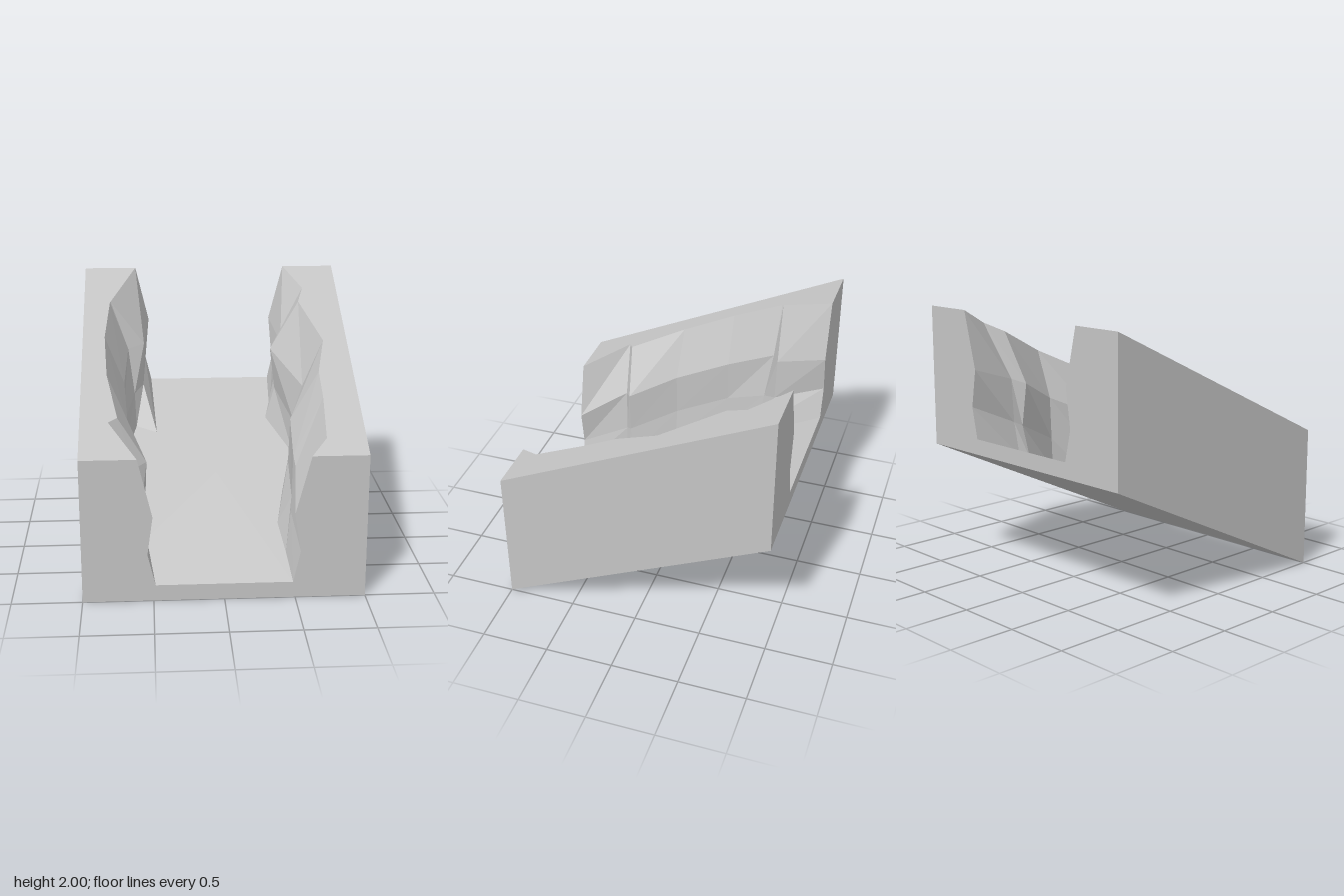
import * as THREE from 'three';

const SLOPE = 0.47;      // rise of the ramp per unit of depth
const HEIGHT = 1.055;    // block height at any depth
const FLOOR = 0.117;     // channel floor above the underside

// Point on the sloping block: x, height above the underside, z
const at = (x, h, z) => new THREE.Vector3(x, h + SLOPE * (1 - z), z);

// Faceted mesh from a flat list of triangle corners
function facets(name, points, material) {
  const geometry = new THREE.BufferGeometry().setFromPoints(points);
  geometry.computeVertexNormals();
  const mesh = new THREE.Mesh(geometry, material);
  mesh.name = name;
  return mesh;
}

// Strip of quads between a lower and an upper line, both running front to back
function strip(lower, upper, flip) {
  const out = [];
  for (let i = 0; i < lower.length - 1; i++) {
    const [a, b, c, d] = [lower[i], lower[i + 1], upper[i + 1], upper[i]];
    out.push(...(flip ? [a, c, b, a, d, c] : [a, b, c, a, c, d]));
  }
  return out;
}

// Rock wall contour lines as [x, z], from front to back
const rightRock = {
  foot: [[-.485, 1], [-.56, .62], [-.53, .56], [-.655, .22], [-.69, -.2], [-.61, -.48], [-.45, -.41], [-.485, -1]],
  low: [[-.54, 1], [-.58, .62], [-.55, .58], [-.68, .22], [-.71, -.2], [-.62, -.52], [-.55, -.62], [-.54, -1]],
  mid: [[-.5, 1], [-.61, .63], [-.535, .58], [-.67, .22], [-.695, -.2], [-.665, -.57], [-.54, -.63], [-.5, -1]],
  rim: [[-.6, 1], [-.8, .66], [-.735, .62], [-.815, .2], [-.835, -.2], [-.8, -.585], [-.795, -.595], [-.6, -1]],
};
const leftRock = {
  foot: [[.485, 1], [.46, .75], [.425, .49], [.49, .2], [.61, -.17], [.43, -.55], [.47, -.62], [.485, -1]],
  low: [[.535, 1], [.5, .66], [.52, .53], [.53, .2], [.62, -.17], [.5, -.56], [.5, -.64], [.535, -1]],
  mid: [[.49, 1], [.53, .65], [.525, .55], [.54, .2], [.67, -.14], [.46, -.55], [.55, -.62], [.49, -1]],
  rim: [[.6, 1], [.72, .84], [.745, .45], [.745, .2], [.82, -.13], [.68, -.57], [.73, -.73], [.6, -1]],
};

// Lift the contour lines into space and add the outer edges of the block
function contours(rock, side) {
  const lift = (line, h, endH = h) =>
    line.map(([x, z]) => at(x, Math.abs(z) === 1 ? endH : h, z));
  return {
    foot: lift(rock.foot, FLOOR),
    low: lift(rock.low, 0.36, 0.35),
    mid: lift(rock.mid, 0.69, 0.63),
    rim: lift(rock.rim, HEIGHT),
    edge: rock.rim.map(([, z]) => at(side, HEIGHT, z)),
    base: rock.rim.map(([, z]) => at(side, 0, z)),
  };
}

export function createModel() {
  const model = new THREE.Group();
  model.name = 'rockChannelRamp';
  const stone = new THREE.MeshStandardMaterial({ color: 0xc4c4c4 });
  stone.name = 'pale grey stone';

  const right = contours(rightRock, -1);
  const left = contours(leftRock, 1);

  // Rock walls, sloping tops and outer sides
  for (const [label, c, flip] of [['right', right, false], ['left', left, true]]) {
    const wall = [
      ...strip(c.foot, c.low, flip),
      ...strip(c.low, c.mid, flip),
      ...strip(c.mid, c.rim, flip),
    ];
    model.add(facets(label + 'RockWall', wall, stone));
    model.add(facets(label + 'Top', strip(c.rim, c.edge, flip), stone));
    model.add(facets(label + 'Side', strip(c.edge, c.base, flip), stone));
  }

  // Channel floor fanned from the centre to the foot of the walls
  const loop = [...right.foot, ...[...left.foot].reverse()];
  const centre = at(0, FLOOR, 0);
  const floor = loop.flatMap((p, i) => [centre, loop[(i + 1) % loop.length], p]);
  model.add(facets('channelFloor', floor, stone));

  // Underside
  const under = strip([at(-1, 0, 1), at(-1, 0, -1)], [at(1, 0, 1), at(1, 0, -1)], false);
  model.add(facets('underside', under, stone));

  // Notched end faces
  for (const [name, z] of [['frontEnd', 1], ['backEnd', -1]]) {
    const pick = (c) => ['base', 'edge', 'rim', 'mid', 'low', 'foot']
      .map((k) => c[k][z === 1 ? 0 : c[k].length - 1]);
    const outline = [...pick(right), ...pick(left).reverse()];
    const shape = new THREE.Shape(outline.map((p) => new THREE.Vector2(p.x * z, p.y)));
    const end = new THREE.Mesh(new THREE.ShapeGeometry(shape), stone);
    end.name = name;
    end.position.z = z;
    if (z < 0) end.rotation.y = Math.PI;
    model.add(end);
  }

  return model;
}
